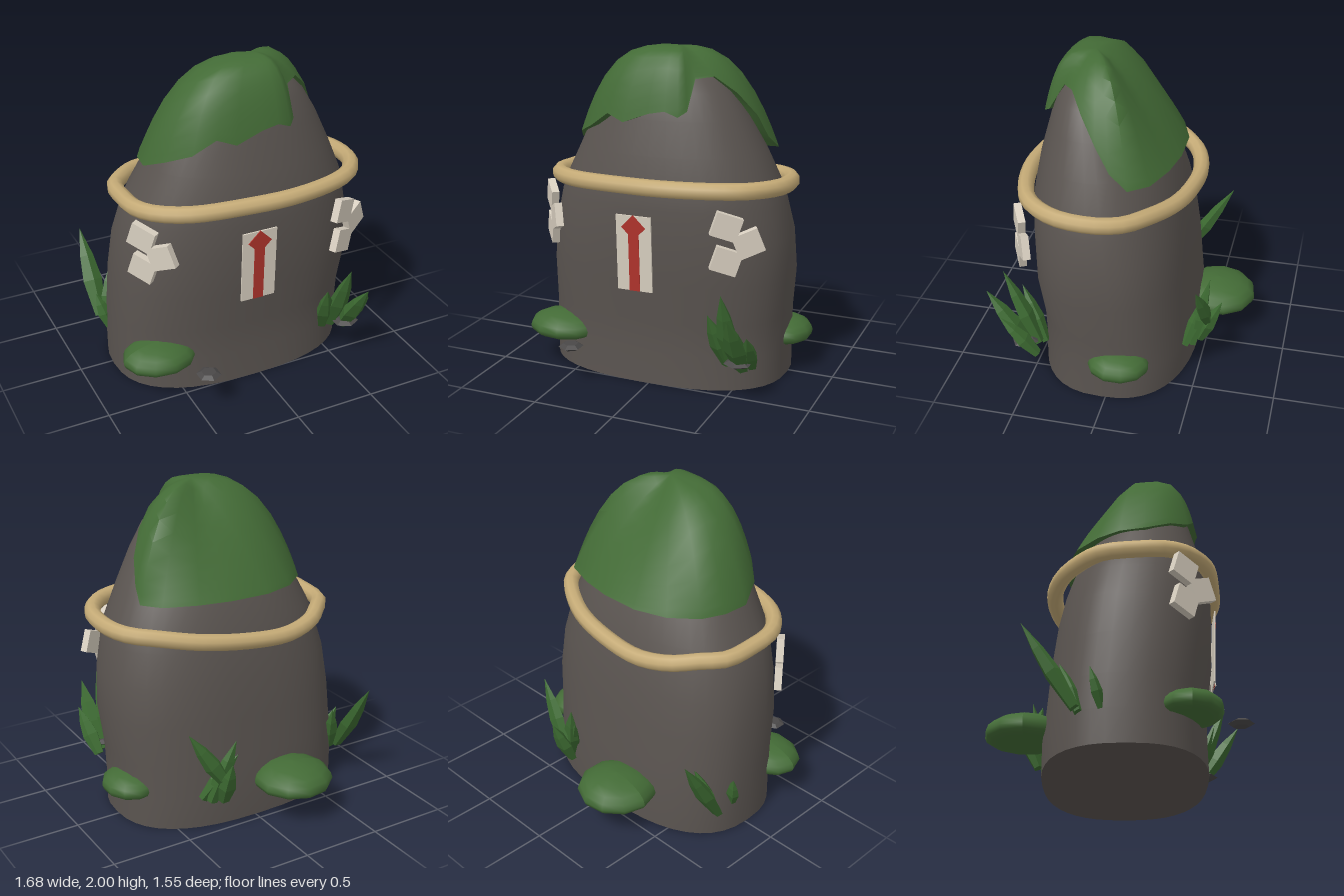
import * as THREE from 'three';
import { toCreasedNormals } from 'three/addons/utils/BufferGeometryUtils.js';

const mat = (name, color, side = THREE.FrontSide) => {
  const m = new THREE.MeshStandardMaterial({ color, side });
  m.name = name;
  return m;
};

// Skin between closed rings of points, listed bottom to top, running from +x towards +z
function loft(rings, crease = 0.8) {
  const n = rings[0].length, index = [];
  for (let i = 0; i < rings.length - 1; i++) {
    for (let j = 0; j < n; j++) {
      const k = (j + 1) % n;
      const a = i * n + j, b = i * n + k, c = a + n, d = b + n;
      index.push(a, c, b, b, c, d);
    }
  }
  const g = new THREE.BufferGeometry();
  g.setAttribute('position', new THREE.Float32BufferAttribute(rings.flat(2), 3));
  g.setIndex(index);
  return toCreasedNormals(g, crease);
}

export function createModel() {
  const model = new THREE.Group();
  model.name = 'mossyRopedRock';
  const stone = mat('stone', 0x5a5450);
  const moss = mat('moss', 0x436b36, THREE.DoubleSide);
  const grass = mat('grass', 0x3c6a31);
  const straw = mat('straw', 0xc4aa76);
  const paper = mat('paper', 0xd8cfc0);
  const red = mat('red', 0xb0332c);
  const pebbleGrey = mat('pebbleGrey', 0x4a4848);

  const add = (name, geometry, material, parent = model) => {
    const m = new THREE.Mesh(geometry, material);
    m.name = name;
    parent.add(m);
    return m;
  };

  // Rock: rounded sections [y, xMin, xMax, zMin, zMax, roundness]
  const sections = [
    [0, -0.79, 0.72, -0.45, 0.51, 2.5], [0.2, -0.79, 0.72, -0.45, 0.505, 2.5],
    [0.4, -0.785, 0.725, -0.43, 0.51, 2.5], [0.65, -0.775, 0.75, -0.41, 0.545, 2.5],
    [0.9, -0.75, 0.74, -0.38, 0.555, 2.4], [1.1, -0.70, 0.70, -0.34, 0.56, 2.3],
    [1.2, -0.66, 0.67, -0.31, 0.55, 2.3], [1.4, -0.56, 0.585, -0.24, 0.515, 2.2],
    [1.6, -0.46, 0.485, -0.12, 0.46, 2.2], [1.75, -0.34, 0.39, -0.02, 0.42, 2.1],
    [1.84, -0.20, 0.30, 0.06, 0.37, 2], [1.9, -0.08, 0.18, 0.13, 0.30, 2],
  ];
  const power = (v, e) => Math.sign(v) * Math.abs(v) ** (2 / e);
  const rockRings = sections.map(([y, x0, x1, z0, z1, e]) =>
    Array.from({ length: 40 }, (_, j) => {
      const a = (j / 40) * Math.PI * 2;
      return [(x0 + x1) / 2 + (x1 - x0) / 2 * power(Math.cos(a), e), y,
        (z0 + z1) / 2 + (z1 - z0) / 2 * power(Math.sin(a), e)];
    }));
  const point = (x, y, z) => Array.from({ length: 40 }, () => [x, y, z]);
  add('rock', loft([point(-0.03, 0, 0.03), ...rockRings, point(0.06, 1.92, 0.21)]), stone);

  // Moss cap: rim points [x, y, z, bulge] joined to a crown
  const rim = [
    [0.59, 1.38, -0.11, 2.7], [0.56, 1.46, 0, 2.7], [0.52, 1.6, 0.09, 2.7], [0.43, 1.74, 0.19, 2.5],
    [0.32, 1.84, 0.27, 2], [0.23, 1.83, 0.34, 2.5], [0.22, 1.66, 0.44, 4], [0.18, 1.63, 0.48, 4],
    [0.1, 1.66, 0.485, 4], [0, 1.64, 0.485, 4], [-0.16, 1.58, 0.485, 4], [-0.27, 1.62, 0.455, 4],
    [-0.4, 1.53, 0.41, 4], [-0.52, 1.47, 0.3, 3.5], [-0.59, 1.4, 0.15, 3], [-0.57, 1.39, 0, 3],
    [-0.5, 1.38, -0.13, 2.4], [-0.35, 1.38, -0.26, 1.8], [-0.15, 1.38, -0.325, 1.4],
    [0.1, 1.38, -0.325, 1.3], [0.3, 1.38, -0.29, 1.4], [0.5, 1.38, -0.22, 2],
  ];
  const crown = [0.07, 2, 0.19];
  const mossRing = (f) => rim.map(([x, y, z, p]) => [
    crown[0] + (x - crown[0]) * f,
    y + (crown[1] - y) * (1 - f ** p),
    crown[2] + (z - crown[2]) * f]);
  const lip = rim.map(([x, y, z]) => [
    crown[0] + (x - crown[0]) * 0.84, y + 0.01, crown[2] + (z - crown[2]) * 0.84]);
  const levels = [1, 0.97, 0.92, 0.85, 0.75, 0.62, 0.48, 0.32, 0.16, 0];
  add('mossCap', loft(levels.map(mossRing), 1), moss);
  add('mossUnderside', loft([lip, mossRing(1)]), moss);

  // Straw rope sagging towards the back
  const ropePath = [
    [-0.70, 0.1], [-0.68, -0.1], [-0.58, -0.22], [-0.45, -0.33], [-0.25, -0.39], [0, -0.385],
    [0.3, -0.33], [0.55, -0.2], [0.66, -0.1], [0.72, 0.05], [0.71, 0.28], [0.6, 0.45],
    [0.45, 0.53], [0.15, 0.585], [-0.1, 0.57], [-0.45, 0.5], [-0.62, 0.38], [-0.69, 0.25],
  ].map(([x, z]) => new THREE.Vector3(x, 1.2 + 0.06 * z + 0.02 * x - 1.2 * Math.min(0, z + 0.2) ** 2, z));
  add('rope', new THREE.TubeGeometry(new THREE.CatmullRomCurve3(ropePath, true), 54, 0.05, 9, true), straw);

  // Paper charm on the front, with a red stripe and diamond
  const charm = new THREE.Group();
  charm.name = 'paperCharm';
  charm.position.set(-0.055, 0.83, 0.569);
  charm.rotation.x = 0.04;
  model.add(charm);
  add('charmSheet', new THREE.BoxGeometry(0.22, 0.46, 0.009), paper, charm);
  add('charmStripe', new THREE.BoxGeometry(0.066, 0.40, 0.006), red, charm).position.set(0, -0.03, 0.005);
  const diamond = add('charmDiamond', new THREE.BoxGeometry(0.106, 0.106, 0.008), red, charm);
  diamond.position.set(0, 0.16, 0.006);
  diamond.rotation.z = Math.PI / 4;

  // Zigzag paper streamers, each of three tilted squares
  for (const [name, x, y, z, turn] of [
    ['leftStreamer', 0.555, 0.955, 0.535, 0.48], ['rightStreamer', -0.66, 0.965, 0.405, -0.9]]) {
    const streamer = new THREE.Group();
    streamer.name = name;
    streamer.position.set(x, y, z);
    streamer.rotation.y = turn;
    model.add(streamer);
    for (const [u, v, tilt] of [[-0.055, 0.1, -0.33], [0.07, 0, 0.38], [-0.055, -0.1, -0.33]]) {
      const fold = add('streamerFold', new THREE.BoxGeometry(0.155, 0.14, 0.045), paper, streamer);
      fold.position.set(u, v, 0);
      fold.rotation.z = tilt;
    }
  }

  // Moss cushions: domes with a nearly flat underside
  for (const [x, z, rx, rz, h] of [
    [-0.62, 0.38, 0.23, 0.19, 0.1], [0.67, -0.07, 0.17, 0.19, 0.09], [-0.21, -0.54, 0.245, 0.24, 0.115]]) {
    const g = new THREE.SphereGeometry(1, 11, 10);
    const p = g.attributes.position;
    for (let i = 0; i < p.count; i++) {
      const y = p.getY(i);
      p.setXYZ(i, p.getX(i) * rx, y > 0 ? y * h : Math.max(y, -0.5) * 0.09, p.getZ(i) * rz);
    }
    g.computeVertexNormals();
    add('mossCushion', g, moss).position.set(x, 0.24, z);
  }

  // Grass tufts: each blade runs from a base to a tip [base, tip, width]
  const up = new THREE.Vector3(0, 1, 0);
  const blade = (base, tip, width, parent) => {
    const from = new THREE.Vector3(...base), dir = new THREE.Vector3(...tip).sub(from);
    const len = dir.length();
    const profile = [[0, 0], [0.6, 0], [1, 0.4], [0.7, 0.68], [0, 1]]
      .map(([r, t]) => new THREE.Vector2(r * width, t * len));
    const g = new THREE.LatheGeometry(profile, 5).scale(1, 1, 0.75).toNonIndexed();
    g.computeVertexNormals();
    const m = add('grassBlade', g, grass, parent);
    m.position.copy(from);
    m.quaternion.setFromUnitVectors(up, dir.normalize());
  };
  const tufts = {
    frontGrass: [
      [[0.52, 0.2, 0.47], [0.52, 0.69, 0.68], 0.065], [[0.59, 0.19, 0.5], [0.59, 0.58, 0.77], 0.07],
      [[0.48, 0.18, 0.44], [0.41, 0.53, 0.6], 0.06], [[0.63, 0.19, 0.45], [0.67, 0.45, 0.66], 0.055]],
    backGrass: [
      [[0.26, 0.2, -0.5], [0.28, 0.5, -0.63], 0.06], [[0.36, 0.2, -0.42], [0.18, 0.5, -0.53], 0.055],
      [[0.32, 0.19, -0.46], [0.2, 0.6, -0.54], 0.06], [[0.26, 0.32, -0.55], [0.5, 0.69, -0.5], 0.055]],
    sideGrass: [
      [[-0.77, 0.2, -0.24], [-0.78, 0.69, -0.54], 0.065], [[-0.73, 0.19, -0.22], [-0.66, 0.5, -0.33], 0.055],
      [[-0.76, 0.2, -0.1], [-0.82, 0.42, -0.16], 0.045]],
  };
  for (const [name, blades] of Object.entries(tufts)) {
    const tuft = new THREE.Group();
    tuft.name = name;
    model.add(tuft);
    blades.forEach((b) => blade(...b, tuft));
  }

  // Small flat six-sided pebbles
  const pebbleProfile = [[0, -0.018], [0.045, -0.018], [0.075, 0], [0.045, 0.018], [0, 0.018]]
    .map(([r, y]) => new THREE.Vector2(r, y));
  const pebbleShape = new THREE.LatheGeometry(pebbleProfile, 6).toNonIndexed();
  pebbleShape.computeVertexNormals();
  add('pebble', pebbleShape, pebbleGrey).position.set(-0.43, 0.235, 0.675);
  const second = add('pebble', pebbleShape, pebbleGrey);
  second.position.set(0.58, 0.24, 0.54);
  second.scale.set(1.15, 1, 1.1);

  return model;
}
